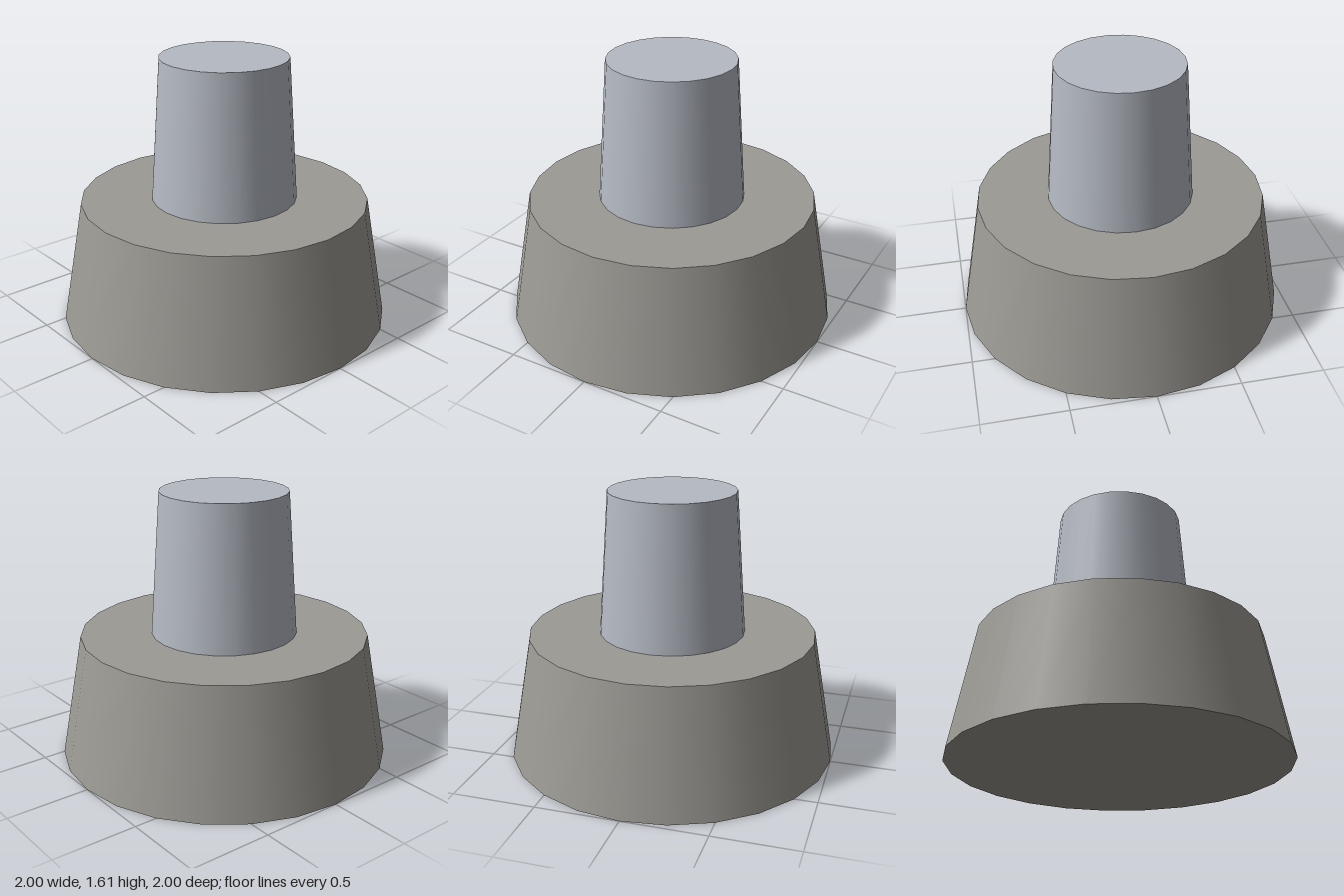
import * as THREE from 'three';

const SIDES = 24;

// Upright tapered cylinder standing on height y
function taper(name, rTop, rBottom, y, height, material) {
  const geometry = new THREE.CylinderGeometry(rTop, rBottom, height, SIDES);
  geometry.translate(0, y + height / 2, 0);
  const mesh = new THREE.Mesh(geometry, material);
  mesh.name = name;
  return mesh;
}

export function createModel() {
  const stone = new THREE.MeshStandardMaterial({ color: 0x9c9a94 });
  stone.name = 'warm grey';
  const steel = new THREE.MeshStandardMaterial({ color: 0xb5bac3 });
  steel.name = 'light blue grey';

  const model = new THREE.Group();
  model.name = 'taperedPostOnBase';
  model.add(
    taper('base', 0.865, 1, 0, 0.75, stone), // wide foot
    taper('post', 0.38, 0.44, 0.75, 0.86, steel) // narrow post on top
  );
  return model;
}
